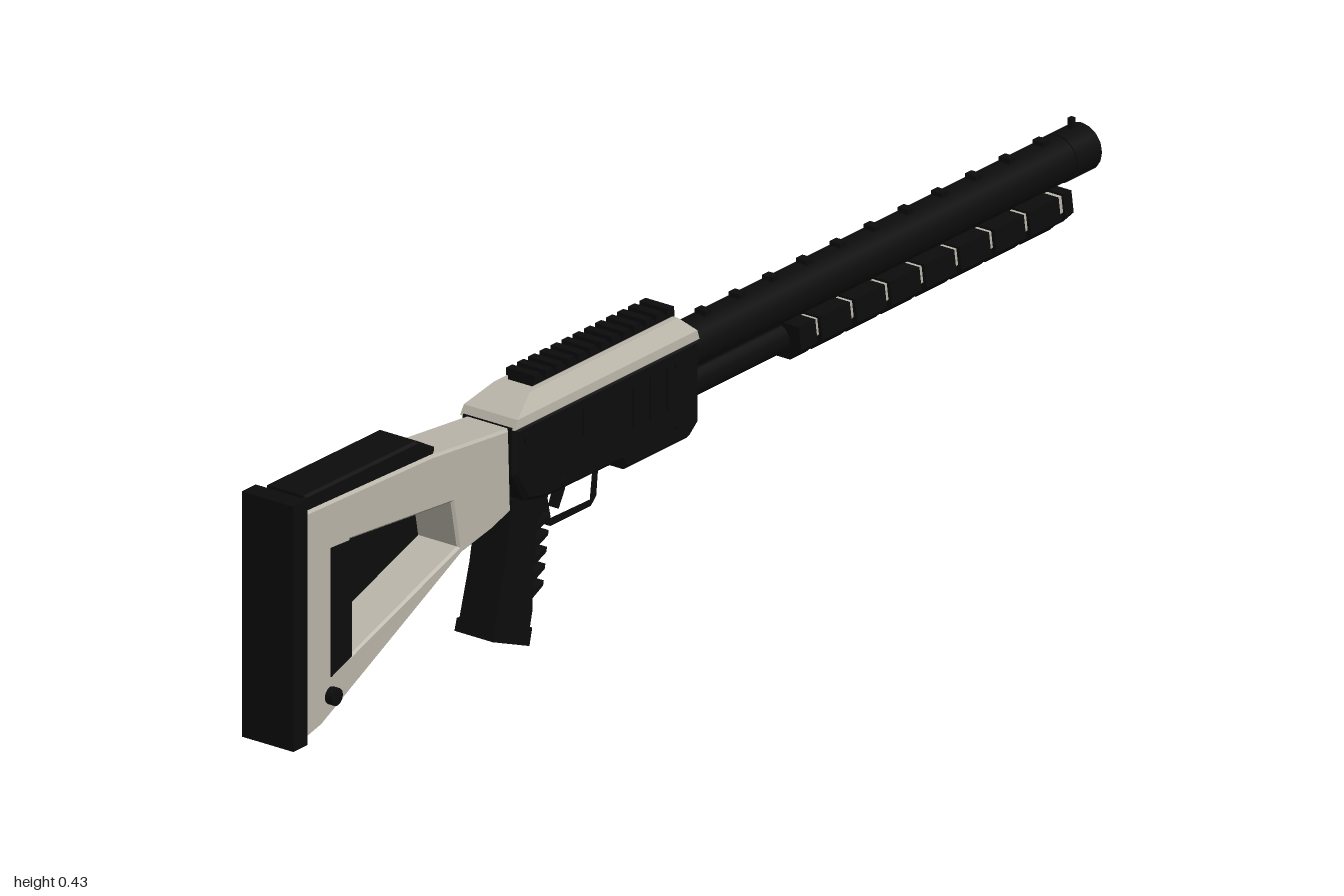
import * as THREE from 'three';
import { ConvexGeometry } from 'three/addons/geometries/ConvexGeometry.js';

export function createModel() {
  const root = new THREE.Group();
  root.name = 'longGunProp';
  const black = new THREE.MeshStandardMaterial({ color: 0x0c0c0c });
  black.name = 'black polymer';
  const light = new THREE.MeshStandardMaterial({ color: 0xbab5a9 });
  light.name = 'warm light grey';

  const add = (name, geo, mat, x = 0, y = 0, z = 0) => {
    const m = new THREE.Mesh(geo, mat);
    m.name = name;
    m.position.set(x, y, z);
    root.add(m);
    return m;
  };
  const box = (name, mat, w, h, d, x, y, z) => add(name, new THREE.BoxGeometry(w, h, d), mat, x, y, z);
  const toShape = (pts) => new THREE.Shape(pts.map((p) => new THREE.Vector2(p[0], p[1])));

  // Side profile of (z, y) points, extruded across x and centred on x = cx
  const profile = (name, mat, pts, width, { hole, bevel = 0, cx = 0 } = {}) => {
    const s = toShape(pts);
    if (hole) s.holes.push(toShape(hole));
    const g = new THREE.ExtrudeGeometry(s, {
      depth: width - 2 * bevel, bevelEnabled: bevel > 0, bevelThickness: bevel,
      bevelSize: bevel, bevelOffset: -bevel, bevelSegments: 1,
    });
    g.translate(0, 0, -(width - 2 * bevel) / 2);
    g.rotateY(-Math.PI / 2);
    return add(name, g, mat, cx);
  };
  // Cylinder along z between two z values
  const tube = (name, mat, r, y, z0, z1, sides = 24) => {
    const g = new THREE.CylinderGeometry(r, r, Math.abs(z1 - z0), sides);
    g.rotateX(Math.PI / 2);
    return add(name, g, mat, 0, y, (z0 + z1) / 2);
  };
  // Pin running across the whole body
  const pin = (name, r, width, y, z) => {
    const g = new THREE.CylinderGeometry(r, r, width, 12);
    g.rotateZ(Math.PI / 2);
    add(name, g, black, 0, y, z);
  };

  // Stock with its opening, side panel, cheek rest and butt plate
  profile('stock', light, [
    [0.968, 0.405], [0.65, 0.395], [0.46, 0.376], [0.455, 0.24], [0.5, 0.226],
    [0.575, 0.212], [0.92, 0.045], [0.968, 0.034],
  ], 0.084, { bevel: 0.004, hole: [[0.85, 0.325], [0.6, 0.302], [0.585, 0.225], [0.85, 0.135]] });
  profile('stockSidePanel', black,
    [[0.9, 0.328], [0.59, 0.304], [0.575, 0.225], [0.61, 0.21], [0.9, 0.118]], 0.009, { cx: -0.0395 });
  profile('stockRearStrip', black,
    [[0.9, 0.328], [0.85, 0.325], [0.85, 0.135], [0.9, 0.118]], 0.009, { cx: 0.0395 });
  profile('cheekRest', black,
    [[0.957, 0.43], [0.68, 0.428], [0.635, 0.403], [0.64, 0.392], [0.957, 0.402]], 0.076, { bevel: 0.004 });
  box('buttPlate', black, 0.098, 0.4, 0.034, 0, 0.23, 0.983);
  pin('stockPin', 0.014, 0.11, 0.088, 0.9);

  // Receiver
  profile('receiver', black, [
    [0.46, 0.378], [0.005, 0.378], [0.005, 0.24], [0.03, 0.22], [0.185, 0.22], [0.2, 0.238],
    [0.385, 0.24], [0.43, 0.25], [0.46, 0.3],
  ], 0.106, { bevel: 0.007 });
  const cover = [];
  [[0.375, 0.052, 0.006, 0.46], [0.39, 0.051, 0.01, 0.452], [0.414, 0.034, 0.035, 0.4]].forEach(([y, x, z0, z1]) => {
    for (const sx of [-x, x]) for (const z of [z0, z1]) cover.push(new THREE.Vector3(sx, y, z));
  });
  add('receiverCover', new ConvexGeometry(cover), light);

  // Top rail and its teeth
  box('railBase', black, 0.046, 0.01, 0.35, 0, 0.417, 0.205);
  for (let i = 0; i < 13; i++) box('railTooth', black, 0.054, 0.012, 0.015, 0, 0.426, 0.372 - i * 0.0273);

  // Raised receiver details on both sides
  for (const s of [-1, 1]) {
    for (let i = 0; i < 3; i++) box('receiverRib', black, 0.005, 0.07, 0.016, s * 0.053, 0.32, 0.08 + i * 0.042);
    box('receiverPort', black, 0.005, 0.045, 0.09, s * 0.053, 0.335, 0.25);
  }
  pin('receiverPin', 0.009, 0.112, 0.355, 0.06);
  pin('receiverPin', 0.009, 0.112, 0.355, 0.43);
  pin('receiverPin', 0.007, 0.112, 0.253, 0.06);
  pin('receiverPin', 0.007, 0.112, 0.253, 0.34);

  // Grip with a ribbed front edge
  const grip = [[0.44, 0.25], [0.462, 0.14], [0.492, 0.038], [0.405, 0.004], [0.392, 0.055]];
  for (let i = 0; i < 5; i++) {
    const y = 0.075 + i * 0.026;
    grip.push([0.392 - i * 0.002, y], [0.366 - i * 0.004, y + 0.012], [0.364 - i * 0.004, y + 0.02], [0.39 - i * 0.002, y + 0.012]);
  }
  grip.push([0.36, 0.215], [0.345, 0.25]);
  profile('grip', black, grip, 0.066);
  profile('gripBase', black, [[0.494, 0.038], [0.488, 0.058], [0.397, 0.03], [0.404, 0.002]], 0.073);

  // Trigger and guard
  profile('triggerGuard', black, [[0.35, 0.245], [0.335, 0.175], [0.325, 0.166], [0.225, 0.166], [0.212, 0.178], [0.205, 0.245]], 0.03,
    { hole: [[0.337, 0.238], [0.324, 0.179], [0.228, 0.177], [0.22, 0.238]] });
  profile('trigger', black, [[0.3, 0.245], [0.292, 0.21], [0.302, 0.186], [0.294, 0.182], [0.278, 0.21], [0.275, 0.245]], 0.014);

  // Barrel, bore, muzzle band, tube below, and sights
  tube('barrel', black, 0.037, 0.342, 0.02, -0.95);
  tube('muzzle', black, 0.039, 0.342, -0.94, -1, 16);
  tube('lowerTube', black, 0.027, 0.282, 0.02, -0.9);
  box('barrelBridge', black, 0.03, 0.05, 0.9, 0, 0.305, -0.45);
  for (let i = 0; i < 11; i++) box('barrelRib', black, 0.02, 0.014, 0.016, 0, 0.379, -0.07 - i * 0.083);
  box('frontSight', black, 0.008, 0.018, 0.01, 0, 0.388, -0.975);

  // Sliding fore-end: light core showing between black sheared segments
  const section = (w, y0, y1) => {
    const c = w * 0.5;
    return toShape([[-w, y1], [-w, y0 + 0.022], [-c, y0], [c, y0], [w, y0 + 0.022], [w, y1]]);
  };
  const foreEnd = (name, mat, w, y0, y1, z0, z1) => {
    const g = new THREE.ExtrudeGeometry(section(w, y0, y1), { depth: z1 - z0, bevelEnabled: false });
    const p = g.attributes.position;
    for (let i = 0; i < p.count; i++) p.setZ(i, p.getZ(i) + z0 + (p.getY(i) - 0.28) * 0.15);
    g.computeVertexNormals();
    add(name, g, mat);
  };
  foreEnd('foreEndCore', light, 0.042, 0.256, 0.306, -0.925, -0.26);
  foreEnd('foreEndSegment', black, 0.048, 0.248, 0.31, -0.288, -0.248);
  for (let i = 0; i < 7; i++) {
    const z1 = -0.3 - i * 0.0855;
    foreEnd('foreEndSegment', black, 0.048, 0.248, 0.31, z1 - 0.073, z1);
  }
  foreEnd('foreEndSegment', black, 0.046, 0.25, 0.31, -0.92, -0.9);

  return root;
}
